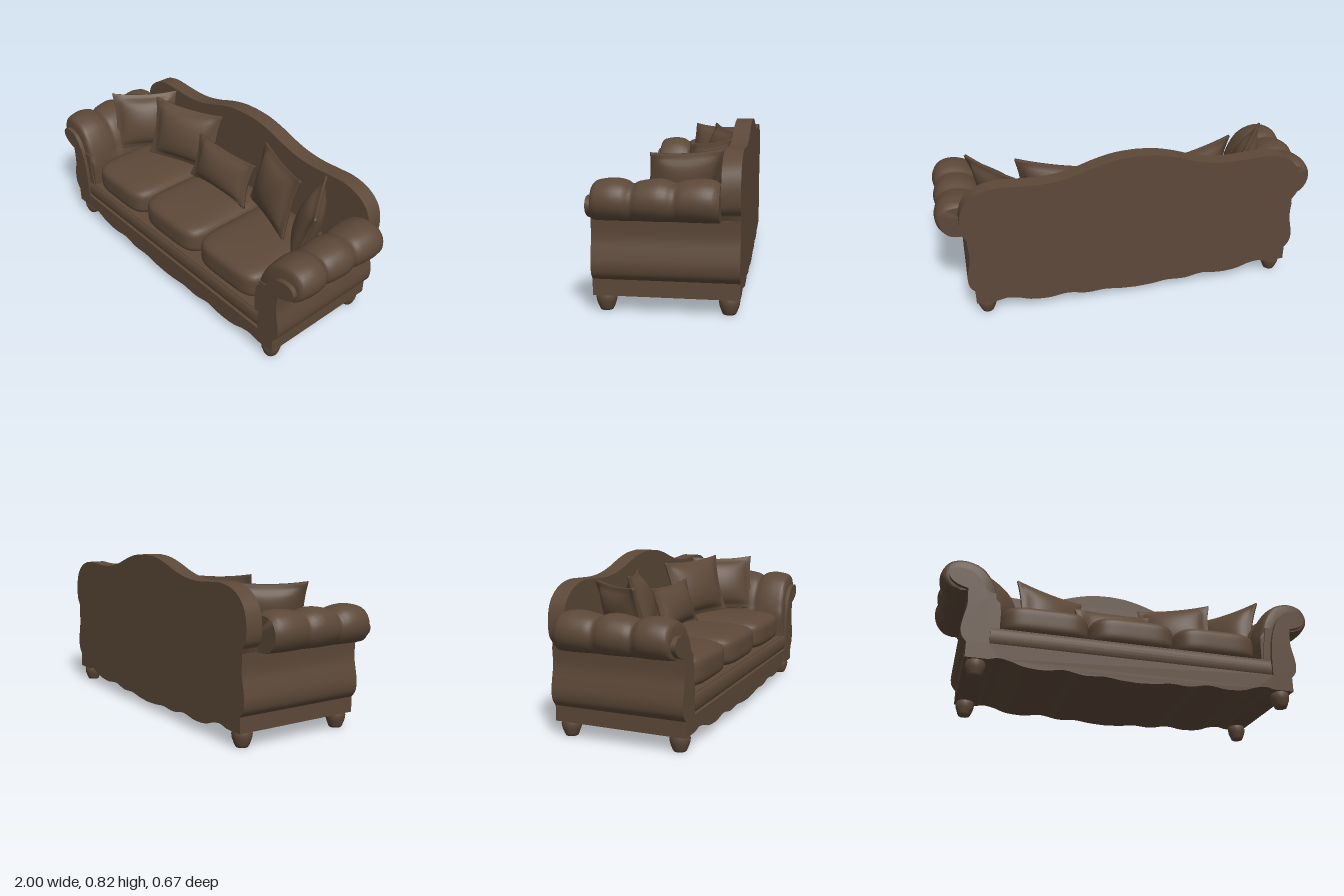
import * as THREE from 'three';
import { mergeVertices, toCreasedNormals } from 'three/addons/utils/BufferGeometryUtils.js';

const fabric = new THREE.MeshStandardMaterial({ color: 0x5c4838 });
fabric.name = 'brown upholstery';

const smooth = (pts, n) => new THREE.CatmullRomCurve3(pts.map(([x, y]) => new THREE.Vector3(x, y, 0)), false, 'centripetal')
  .getPoints(n).map(p => [p.x, p.y]);
const mirrored = pts => pts.map(([x, y]) => [-x, y]).reverse();

export function createModel() {
  const sofa = new THREE.Group();
  const add = (name, geo, x = 0, y = 0, z = 0) => {
    const m = new THREE.Mesh(geo, fabric);
    m.name = name;
    m.position.set(x, y, z);
    sofa.add(m);
    return m;
  };
  // Outline in the front plane, extruded from z0 to z1
  const slab = (pts, z0, z1) => {
    const shape = new THREE.Shape(pts.map(([x, y]) => new THREE.Vector2(x, y)));
    const g = new THREE.ExtrudeGeometry(shape, { depth: z1 - z0, bevelEnabled: false });
    g.translate(0, 0, z0);
    return toCreasedNormals(g, 0.6);
  };

  // Scalloped bottom edge and curved flank, centre outwards
  const hem = smooth([[0, 0.035], [0.09, 0.04], [0.17, 0.05], [0.27, 0.045], [0.37, 0.062], [0.47, 0.05],
    [0.57, 0.058], [0.63, 0.078], [0.69, 0.088], [0.74, 0.078], [0.845, 0.078]], 40);
  const flank = smooth([[0.845, 0.155], [0.868, 0.185], [0.876, 0.23], [0.868, 0.285], [0.855, 0.35], [0.858, 0.44]], 18);

  // Body: full-depth extrusion with a seat well between the arms
  const half = [...hem, ...flank, [0.72, 0.44], [0.7, 0.25]];
  add('body', slab([...half, ...mirrored(half).slice(0, -1)], -0.335, 0.318));

  // Front apron and rounded seat rail
  const apron = [...hem.filter(p => p[0] < 0.74), [0.74, 0.078], [0.74, 0.16]];
  add('frontApron', slab([...apron, ...mirrored(apron).slice(0, -1)], 0.3, 0.335));
  const rail = new THREE.CylinderGeometry(0.045, 0.045, 1.47, 16);
  rail.rotateZ(Math.PI / 2).scale(1, 1, 0.4);
  add('seatRail', rail, 0, 0.203, 0.313);

  // Camel-shaped back
  const crest = smooth([[0, 0.82], [0.1, 0.813], [0.2, 0.79], [0.3, 0.757], [0.4, 0.734], [0.5, 0.727], [0.6, 0.732],
    [0.7, 0.735], [0.79, 0.712], [0.855, 0.66], [0.882, 0.59], [0.88, 0.5], [0.855, 0.46]], 50);
  const backHalf = [...crest, [0.84, 0.25]];
  add('back', slab([...backHalf, ...mirrored(backHalf).slice(0, -1)], -0.335, -0.25));

  // Rolled arms: a scroll section swept along z with three swells
  const section = [[0.69, 0.2], ...smooth([[0.69, 0.33], [0.7, 0.42], [0.73, 0.51], [0.78, 0.585], [0.84, 0.618],
    [0.9, 0.626], [0.96, 0.608], [0.994, 0.56], [0.994, 0.505], [0.96, 0.456], [0.91, 0.44]], 32), [0.855, 0.44], [0.84, 0.2]];
  const swells = smooth([[0.312, 0.7], [0.305, 0.84], [0.285, 0.93], [0.22, 1], [0.17, 0.96], [0.132, 0.83], [0.1, 0.92],
    [0.02, 1], [-0.02, 0.96], [-0.055, 0.87], [-0.09, 0.95], [-0.17, 1.02], [-0.22, 0.98], [-0.25, 0.86]], 52);
  const arm = side => {
    const pos = [], idx = [], n = section.length, m = swells.length;
    for (const [z, s] of swells) {
      for (const [x, y] of section) {
        const k = x > 0.86 ? s : (1 + s) / 2;
        const yy = y > 0.48 ? 0.48 + (y - 0.48) * s : y;
        pos.push(side * (y > 0.4 ? 0.86 + (x - 0.86) * k : x), yy, z);
      }
    }
    const tri = (a, b, c) => side > 0 ? idx.push(a, b, c) : idx.push(a, c, b);
    for (let i = 0; i < m - 1; i++) {
      for (let j = 0; j < n; j++) {
        const a = i * n + j, b = i * n + (j + 1) % n;
        tri(a, b, a + n);
        tri(b, b + n, a + n);
      }
    }
    pos.push(side * 0.79, 0.48, swells[0][0], side * 0.79, 0.48, swells[m - 1][0]);
    for (let j = 0; j < n; j++) {
      const k = (j + 1) % n, last = (m - 1) * n;
      tri(m * n, k, j);
      tri(m * n + 1, last + j, last + k);
    }
    const g = new THREE.BufferGeometry();
    g.setAttribute('position', new THREE.Float32BufferAttribute(pos, 3));
    g.setIndex(idx);
    return toCreasedNormals(g, 0.9);
  };

  // Scroll-topped panel on the front of each arm
  const scroll = smooth([[0.858, 0.44], [0.91, 0.458], [0.945, 0.485], [0.952, 0.515], [0.93, 0.543], [0.89, 0.548],
    [0.84, 0.535], [0.795, 0.49], [0.76, 0.41], [0.742, 0.3], [0.738, 0.16]], 36);
  const panel = [[0.738, 0.078], [0.845, 0.078], ...flank, ...scroll.slice(1)];

  // Turned bun foot
  const foot = new THREE.LatheGeometry([[0, 0], [0.03, 0], [0.036, 0.012], [0.046, 0.04], [0.049, 0.06], [0.045, 0.075], [0.04, 0.09]]
    .map(([x, y]) => new THREE.Vector2(x, y)), 20);

  for (const side of [1, -1]) {
    const label = side > 0 ? 'left' : 'right';
    add(label + 'Arm', arm(side));
    add(label + 'ArmPanel', slab(side > 0 ? panel : mirrored(panel), 0.29, 0.335));
    add(label + 'FrontFoot', foot, side * 0.79, 0, 0.283);
    add(label + 'BackFoot', foot, side * 0.79, 0, -0.283);
  }

  // Move the vertices of a subdivided box by a rule and smooth the result
  const mould = (sx, sy, sz, rule) => {
    let g = new THREE.BoxGeometry(2, 2, 2, sx, sy, sz);
    g.deleteAttribute('normal');
    g.deleteAttribute('uv');
    g = mergeVertices(g);
    const p = g.attributes.position;
    for (let i = 0; i < p.count; i++) p.setXYZ(i, ...rule(p.getX(i), p.getY(i), p.getZ(i)));
    g.computeVertexNormals();
    return g;
  };

  // Seat cushions: soft rounded blocks
  const seat = mould(20, 12, 20, (x, y, z) => {
    const r = (Math.abs(x) ** 5 + Math.abs(y) ** 5 + Math.abs(z) ** 5) ** 0.2;
    const crown = y > 0 ? 0.012 * (1 - x * x) * (1 - z * z) : 0;
    return [x / r * 0.229, y / r * 0.086 + crown, z / r * 0.285];
  });
  for (const i of [-1, 0, 1]) add('seatCushion', seat, i * 0.456, 0.326, 0.032);

  // Throw pillows: plump middle, flat flange, sides drawn in between the corners
  const pillow = (w, h, t) => mould(24, 24, 2, (x, y, z) => {
    const u = Math.min(1, Math.abs(x) / 0.86), v = Math.min(1, Math.abs(y) / 0.86);
    const puff = t / 2 * ((1 - u * u) * (1 - v * v)) ** 0.5;
    return [x * w / 2 * (1 - 0.09 * (1 - y * y)), y * h / 2 * (1 - 0.09 * (1 - x * x)), z * (0.007 + puff)];
  });
  const place = (name, geo, x, y, z, yaw, lean, roll = 0) =>
    add(name, geo, x, y, z).rotation.set(lean, yaw, roll, 'YXZ');

  place('centrePillow', pillow(0.45, 0.25, 0.11), -0.01, 0.522, -0.09, 0, -0.3);
  const large = pillow(0.43, 0.345, 0.13), outer = pillow(0.38, 0.34, 0.12);
  for (const s of [-1, 1]) {
    place('backPillow', large, s * 0.365, 0.574, -0.12, -s * 0.38, -0.24, s * 0.04);
    place('cornerPillow', outer, s * 0.665, 0.566, -0.06, -s * 0.97, -0.3);
  }
  return sofa;
}
